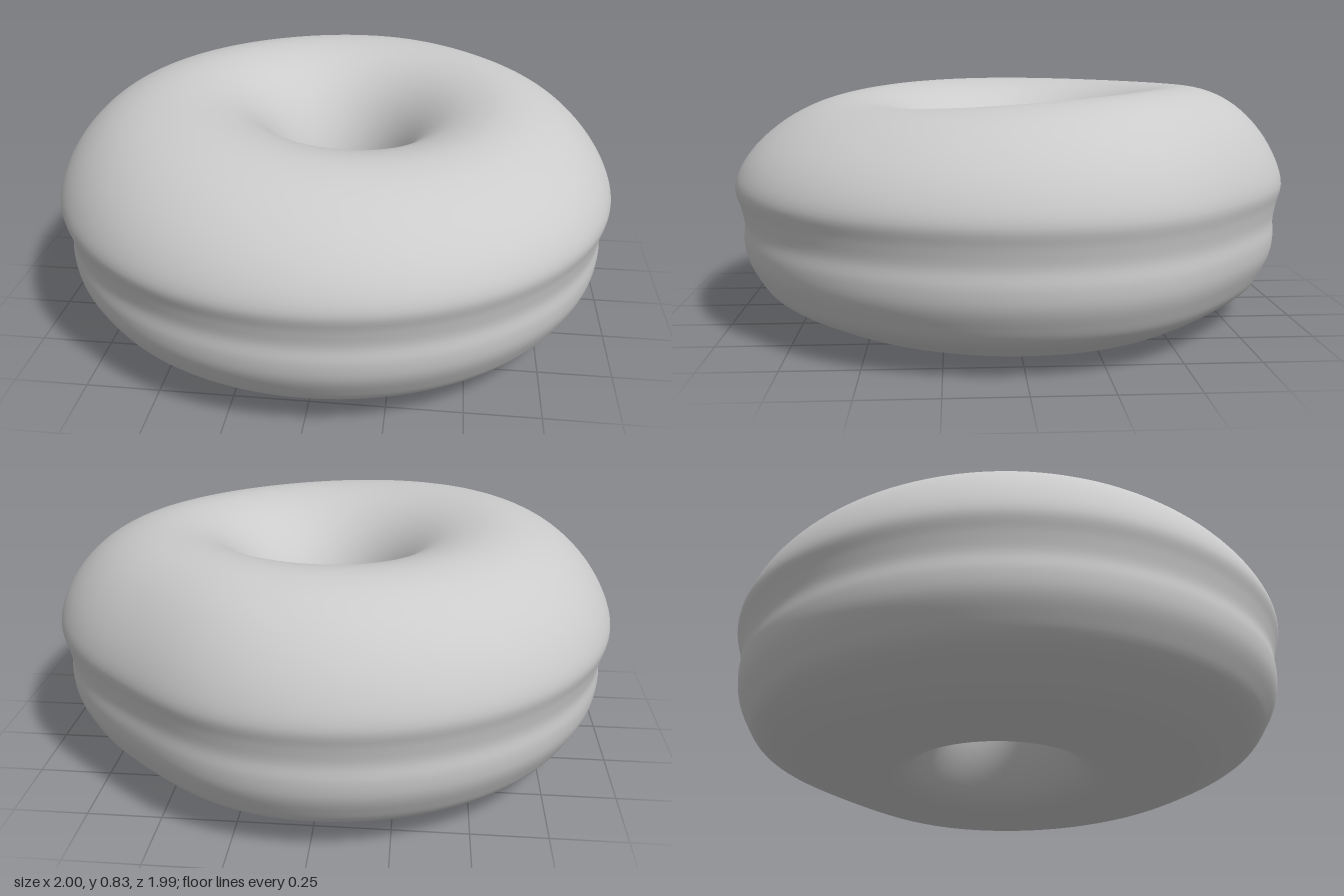
import * as THREE from 'three';
import { mergeVertices } from 'three/addons/utils/BufferGeometryUtils.js';

// Cross-section of the ring as [radius, height]: up the outside, down the hole
const PROFILE = [
  [0.45, 0.004], [0.58, 0.003], [0.7, 0.02], [0.8, 0.062], [0.9, 0.122], [0.94, 0.18],
  [0.968, 0.24], [0.977, 0.3], [0.974, 0.36], [0.985, 0.42], [1, 0.485], [0.975, 0.565],
  [0.91, 0.66], [0.81, 0.745], [0.69, 0.797], [0.56, 0.808], [0.41, 0.765], [0.29, 0.67],
  [0.205, 0.53], [0.17, 0.38], [0.187, 0.25], [0.245, 0.13], [0.33, 0.04],
];
const HOLE = { x: 0.03, z: -0.045 };
const rad = THREE.MathUtils.degToRad;

// Smooth bump around a given direction of the ring
function bump(angle, centre, width) {
  const d = Math.atan2(Math.sin(angle - centre), Math.cos(angle - centre));
  return Math.exp(-((d / width) ** 2));
}

function doughnutGeometry() {
  const curve = new THREE.CatmullRomCurve3(
    PROFILE.map(([r, y]) => new THREE.Vector3(r, y, 0)), true);
  const points = curve.getPoints(110).map((p) => new THREE.Vector2(p.x, p.y));
  let geometry = new THREE.LatheGeometry(points, 144);

  // Hand-made irregularities: off-centre hole, flattened side, uneven crest
  const pos = geometry.attributes.position;
  for (let i = 0; i < pos.count; i++) {
    const x = pos.getX(i), y = pos.getY(i), z = pos.getZ(i);
    const r = Math.hypot(x, z), a = Math.atan2(z, x);
    const shift = THREE.MathUtils.clamp(1 - (r - 0.17) / 0.83, 0, 1);
    const dent = 0.05 * bump(a, rad(-50), rad(22)) * THREE.MathUtils.smoothstep(r, 0.4, 0.95);
    const scale = 0.998 - dent;
    const t = a - rad(55);
    const crest = (-0.025 * Math.cos(t) - 0.012 * Math.cos(2 * t)) * THREE.MathUtils.smoothstep(y, 0.45, 0.8);
    const lift = 0.032 * bump(a, rad(-90), rad(45)) * Math.exp(-(((r - 0.66) / 0.14) ** 2))
      * (1 - THREE.MathUtils.smoothstep(y, 0.06, 0.2));
    pos.setXYZ(i, x * scale + HOLE.x * shift, Math.max(0, y + crest + lift), z * scale + HOLE.z * shift);
  }

  // Weld the seams so the shading is continuous
  geometry.deleteAttribute('uv');
  geometry.deleteAttribute('normal');
  geometry = mergeVertices(geometry, 1e-4);
  geometry.computeVertexNormals();
  return geometry;
}

export function createModel() {
  const model = new THREE.Group();
  model.name = 'doughnut';
  const ring = new THREE.Mesh(doughnutGeometry(), new THREE.MeshStandardMaterial({ color: 0xcccccc }));
  ring.name = 'doughRing';
  model.add(ring);
  return model;
}
